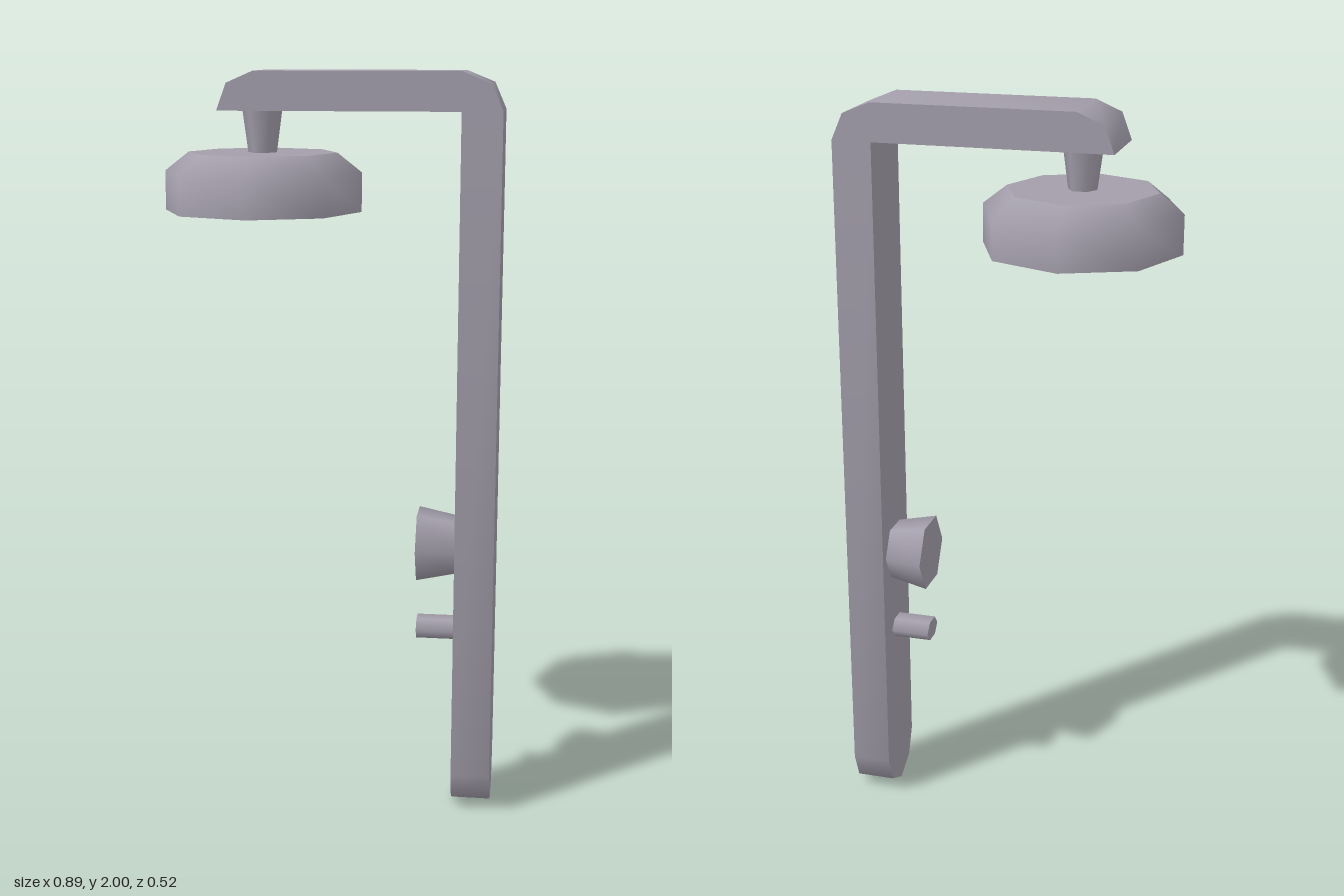
import * as THREE from 'three';
import { toCreasedNormals } from 'three/addons/utils/BufferGeometryUtils.js';

export function createModel() {
  const model = new THREE.Group();
  model.name = 'shower';
  const metal = new THREE.MeshStandardMaterial({ color: 0xa39eab });
  metal.name = 'grey metal';

  const add = (name, geometry, parent = model) => {
    const mesh = new THREE.Mesh(geometry, metal);
    mesh.name = name;
    parent.add(mesh);
    return mesh;
  };

  // Extrude an outline, centred on its depth, with soft bends and sharp rims
  const bar = (outline, depth) => {
    const shape = new THREE.Shape(outline.map(([x, y]) => new THREE.Vector2(x, y)));
    const geometry = new THREE.ExtrudeGeometry(shape, { depth, bevelEnabled: false });
    geometry.translate(0, 0, -depth / 2);
    return toCreasedNormals(geometry, 0.9);
  };

  const half = 0.104; // half the width of the flat bar

  // Upright post with a rounded foot
  const post = add('post', bar([
    [-half, 1.9], [-half, 0.11], [-0.073, 0.035], [0, 0],
    [0.073, 0.035], [half, 0.11], [half, 1.9],
  ], 0.105));
  post.rotation.y = Math.PI / 2;
  post.position.x = 0.392;

  // Overhead arm with bevelled elbow and tip
  add('arm', bar([
    [-0.288, 1.9], [0.445, 1.9], [0.414, 1.97], [0.34, 2],
    [-0.193, 2], [-0.262, 1.97],
  ], half * 2));

  // Tapered neck
  const neck = add('neck', new THREE.CylinderGeometry(0.053, 0.038, 0.11, 6));
  neck.rotation.y = Math.PI / 6;
  neck.position.set(-0.186, 1.845, 0);

  // Eight-sided shower head: soft shell with flat top and bottom
  const head = new THREE.Group();
  head.name = 'showerHead';
  head.position.x = -0.186;
  model.add(head);
  const profile = [[0.262, 1.637], [0.262, 1.74], [0.198, 1.79]];
  add('headShell', new THREE.LatheGeometry(
    profile.map(([r, y]) => new THREE.Vector2(r, y)), 8), head);
  const top = add('headTop', new THREE.CircleGeometry(0.198, 8), head);
  top.rotation.x = -Math.PI / 2;
  top.position.y = 1.79;
  const plate = add('sprayPlate', new THREE.CircleGeometry(0.262, 8), head);
  plate.rotation.x = Math.PI / 2;
  plate.position.y = 1.637;

  // Six-sided controls on the inner face of the post
  const control = (name, outer, inner, y, stretch) => {
    const geometry = new THREE.CylinderGeometry(outer, inner, 0.108, 6);
    geometry.rotateZ(Math.PI / 2);
    geometry.scale(1, 1, stretch);
    add(name, geometry).position.set(0.288, y, 0);
  };
  control('tapKnob', 0.104, 0.081, 0.74, 1);
  control('tapLever', 0.031, 0.031, 0.503, 1.45);

  return model;
}
